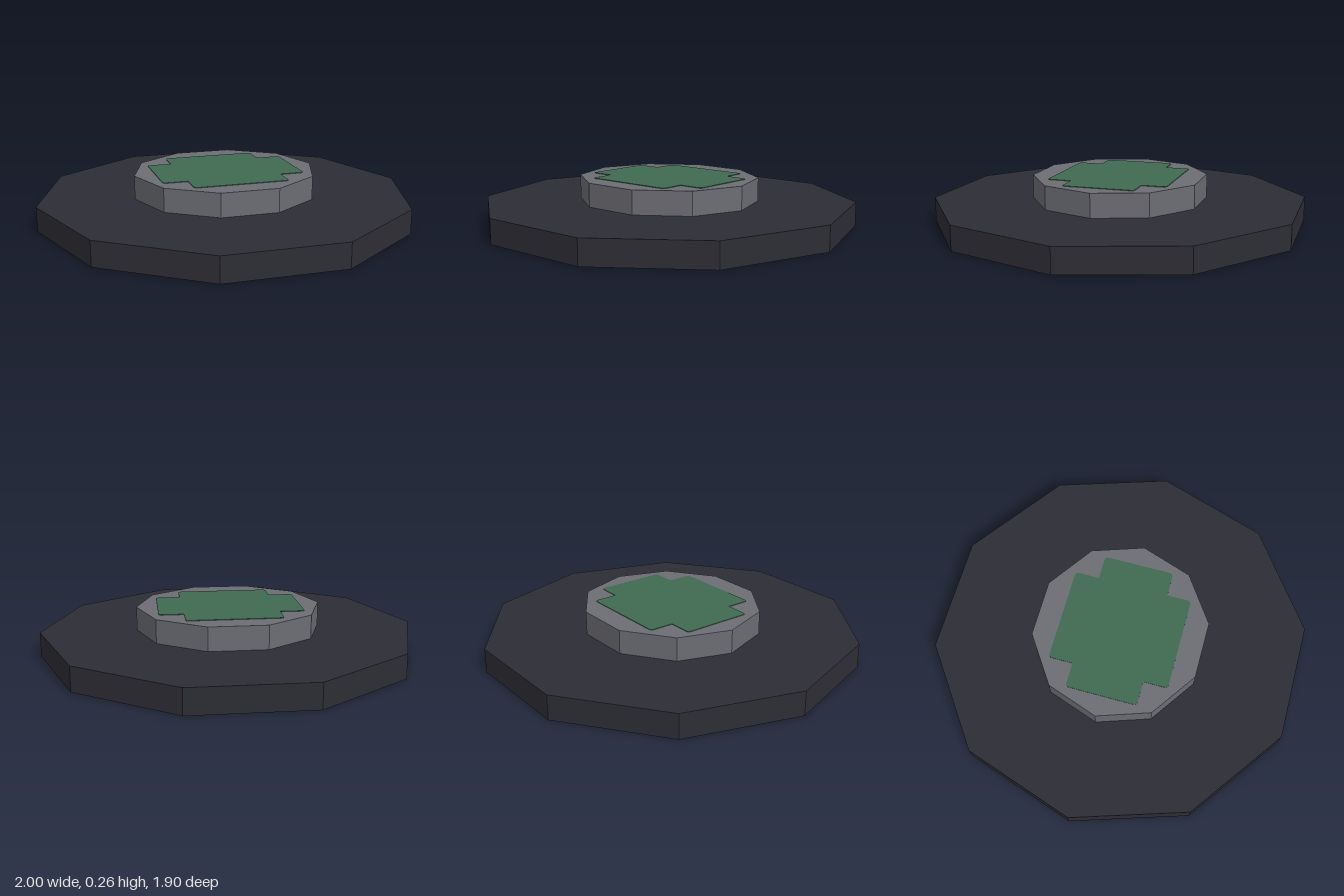
import * as THREE from 'three';

const material = (name, color) => {
  const m = new THREE.MeshStandardMaterial({ color });
  m.name = name;
  m.flatShading = true;
  return m;
};

// Ten-sided slab with corners on the x axis
function slab(name, radiusX, radiusZ, bottom, top, mat) {
  const geometry = new THREE.CylinderGeometry(1, 1, top - bottom, 10, 1, false, Math.PI / 2);
  geometry.scale(radiusX, 1, radiusZ);
  geometry.translate(0, (bottom + top) / 2, 0);
  const mesh = new THREE.Mesh(geometry, mat);
  mesh.name = name;
  return mesh;
}

// Cross outline: wide arms with rounded outer corners and sharp notches
function crossShape(armX, armZ, notchX, notchZ, r) {
  const shape = new THREE.Shape();
  // each corner: [x, y, rounded]
  const quarter = [[armX, notchZ, true], [notchX, notchZ, false], [notchX, armZ, true]];
  const mirror = (sx, sy) => quarter.map(([x, y, round]) => [x * sx, y * sy, round]);
  const corners = [
    ...mirror(1, 1), ...mirror(-1, 1).reverse(),
    ...mirror(-1, -1), ...mirror(1, -1).reverse(),
  ];
  const n = corners.length;
  shape.moveTo(armX, 0);
  for (let i = 0; i < n; i++) {
    const [x, y, round] = corners[i];
    if (!round) {
      shape.lineTo(x, y);
      continue;
    }
    const p = new THREE.Vector2(x, y);
    const toward = (c) => new THREE.Vector2(c[0], c[1]).sub(p).setLength(r).add(p);
    const a = toward(corners[(i + n - 1) % n]);
    const b = toward(corners[(i + 1) % n]);
    shape.lineTo(a.x, a.y);
    shape.quadraticCurveTo(x, y, b.x, b.y);
  }
  shape.closePath();
  return shape;
}

export function createModel() {
  const group = new THREE.Group();
  group.name = 'steppedPlatform';

  const dark = material('dark slate', 0x2d2d35);
  const grey = material('stone grey', 0x6c6d74);
  const green = material('muted green', 0x406a51);

  // Broad base and smaller raised step
  group.add(slab('base', 1, 1, 0, 0.13, dark));
  group.add(slab('raisedStep', 0.49, 0.465, 0.13, 0.255, grey));

  // Thin green inlay on the step
  const geometry = new THREE.ExtrudeGeometry(crossShape(0.38, 0.32, 0.25, 0.19, 0.02), {
    depth: 0.003, bevelEnabled: false, curveSegments: 4,
  });
  geometry.rotateX(-Math.PI / 2);
  geometry.translate(0, 0.255, 0);
  const inlay = new THREE.Mesh(geometry, green);
  inlay.name = 'greenInlay';
  group.add(inlay);

  return group;
}
